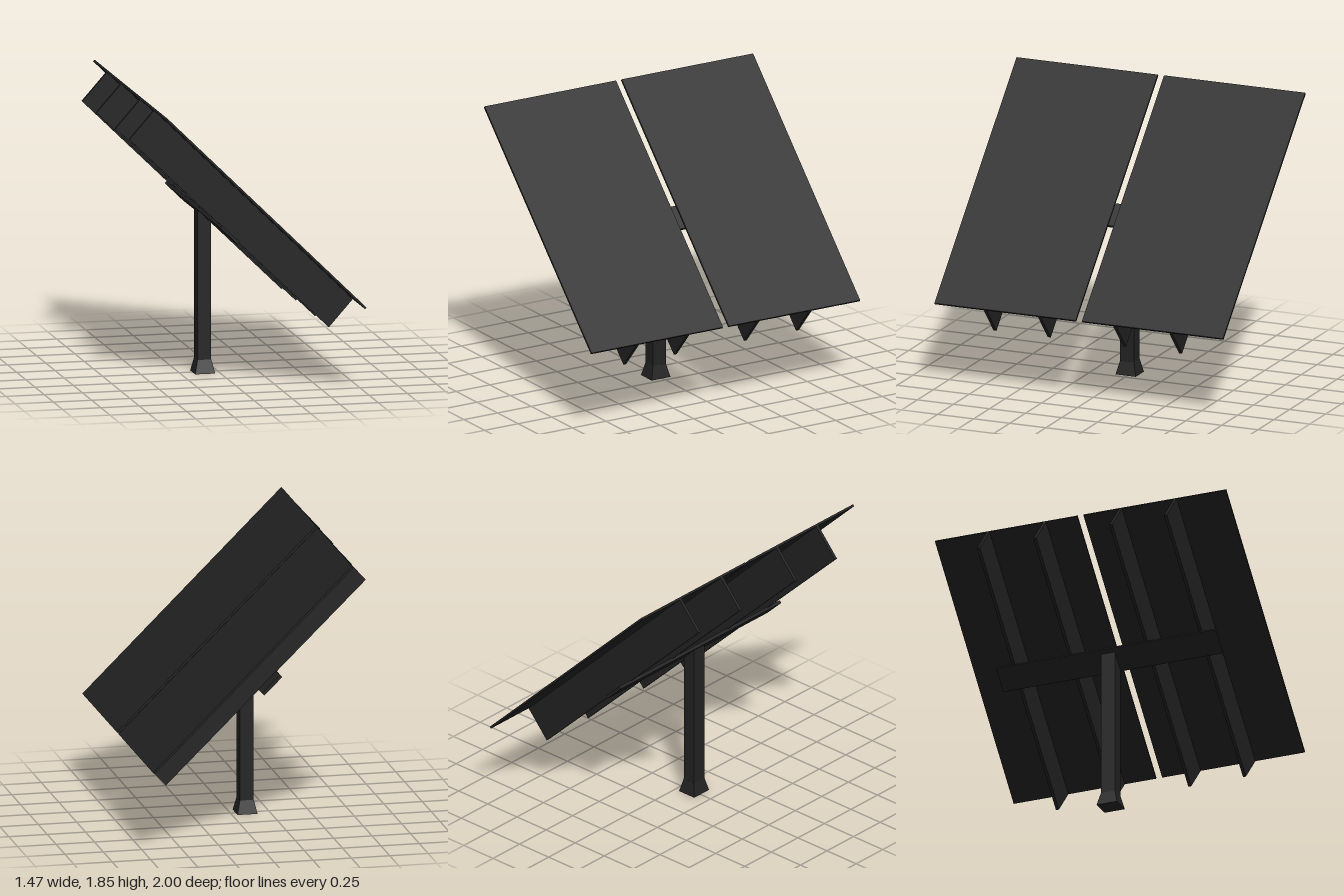
import * as THREE from 'three';

export function createModel() {
  const model = new THREE.Group();
  const charcoal = new THREE.MeshStandardMaterial({ color: 0x222222 });
  charcoal.name = 'charcoal';

  // Prism with an x/y outline, running along z
  function prism(name, points, z0, z1) {
    const shape = new THREE.Shape(points.map(([x, y]) => new THREE.Vector2(x, y)));
    const geo = new THREE.ExtrudeGeometry(shape, { depth: z1 - z0, bevelEnabled: false });
    geo.translate(0, 0, z0);
    const mesh = new THREE.Mesh(geo, charcoal);
    mesh.name = name;
    model.add(mesh);
  }

  // Tilted side outline shared by panels and ribs
  const topHigh = [-0.563, 1.847], topLow = [0.733, 0.568];
  const underHigh = [-0.733, 1.656], underLow = [0.568, 0.383];
  const mix = (a, b, t) => [a[0] + (b[0] - a[0]) * t, a[1] + (b[1] - a[1]) * t];
  const skin = 0.055;
  const panelHigh = mix(topHigh, underHigh, skin), panelLow = mix(topLow, underLow, skin);

  // Two thin panels with a gap between them
  for (const [z0, z1] of [[-1, -0.022], [0.021, 1]]) {
    prism('panel', [topHigh, panelHigh, panelLow, topLow], z0, z1);
  }

  // Deep thin ribs under the panels
  for (const z of [-0.634, -0.246, 0.276, 0.652]) {
    prism('rib', [panelHigh, underHigh, underLow, panelLow], z - 0.01, z + 0.01);
  }

  // Flat crossbar carrying the ribs
  prism('crossbar', [[-0.151, 1.093], [-0.165, 1.078], [-0.048, 0.963], [-0.034, 0.978]], -0.75, 0.76);

  // Square post, its top cut to the slope of the crossbar
  prism('post', [[-0.144, 0.08], [-0.055, 0.08], [-0.055, 0.973], [-0.144, 1.06]], -0.037, 0.059);

  // Flared foot
  const footGeo = new THREE.BoxGeometry(0.13, 0.088, 0.14).toNonIndexed();
  const p = footGeo.attributes.position;
  for (let i = 0; i < p.count; i++) {
    if (p.getY(i) > 0) p.setXYZ(i, p.getX(i) * 0.69, p.getY(i), p.getZ(i) * 0.69);
  }
  footGeo.computeVertexNormals();
  const foot = new THREE.Mesh(footGeo, charcoal);
  foot.name = 'foot';
  foot.position.set(-0.099, 0.044, 0.011);
  model.add(foot);

  return model;
}
